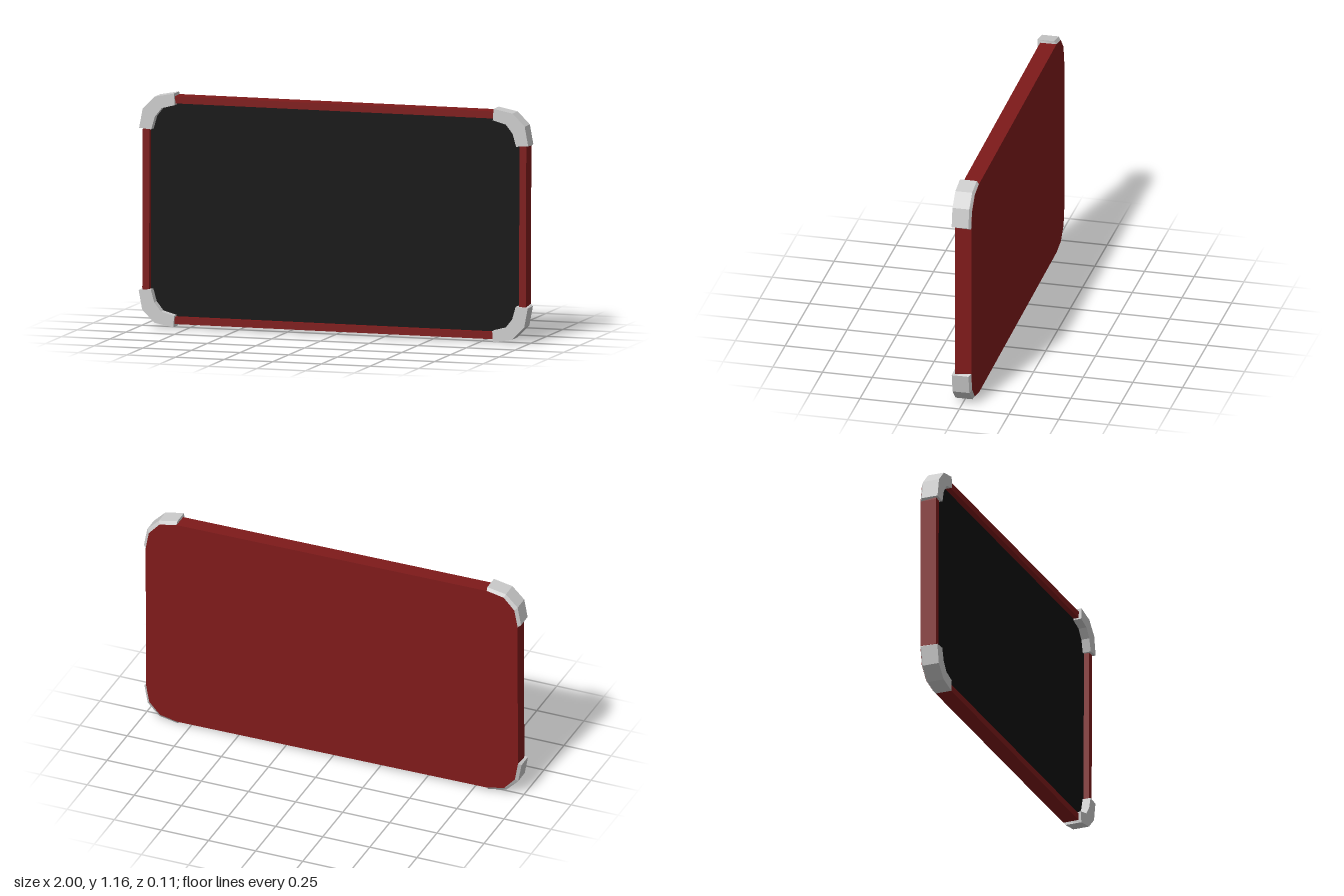
import * as THREE from 'three';

const red = new THREE.MeshStandardMaterial({ color: 0x7e1a1a, flatShading: true });
const black = new THREE.MeshStandardMaterial({ color: 0x111111, flatShading: true });
const grey = new THREE.MeshStandardMaterial({ color: 0xcccccc, flatShading: true });

// Upper +x corner curves, running from the side edge to the top edge
const BODY = [[0.983, 0.39], [0.966, 0.482], [0.91, 0.543], [0.82, 0.562]];
const SCREEN = [[0.948, 0.41], [0.934, 0.475], [0.895, 0.515], [0.82, 0.527]];
const BRACE_OUT = [[0.997, 0.4], [0.979, 0.496], [0.917, 0.558], [0.819, 0.577]];
const BRACE_IN = [[0.935, 0.395], [0.917, 0.458], [0.882, 0.502], [0.815, 0.52]];

// Closed outline made by mirroring one corner curve into all four corners
function outline(corner) {
  const pts = [];
  for (const [sx, sy] of [[1, 1], [-1, 1], [-1, -1], [1, -1]]) {
    const c = corner.map(([x, y]) => new THREE.Vector2(x * sx, y * sy));
    pts.push(...(sx * sy > 0 ? c : c.reverse()));
  }
  return pts;
}

function plate(name, shape, z0, z1, material) {
  const geo = new THREE.ExtrudeGeometry(shape, { depth: z1 - z0, bevelEnabled: false });
  geo.translate(0, 0, z0);
  const mesh = new THREE.Mesh(geo, material);
  mesh.name = name;
  return mesh;
}

// Corner brace: a section with a bevelled back edge, swept around one corner
function braceGeometry(sx, sy) {
  const stations = BRACE_OUT.map((o, i) => {
    const n = BRACE_IN[i], b = BODY[i];
    return [[...o, 0.048], [...o, -0.036], [...b, -0.047], [...n, -0.045], [...n, 0.048]]
      .map(([x, y, z]) => [x * sx, y * sy, z]);
  });
  if (sx * sy < 0) stations.reverse();
  const pos = [];
  const tri = (...p) => p.forEach((v) => pos.push(...v));
  const n = stations[0].length;
  for (let i = 0; i < stations.length - 1; i++) {
    for (let j = 0; j < n; j++) {
      const k = (j + 1) % n, s = stations[i], t = stations[i + 1];
      tri(s[j], s[k], t[k]);
      tri(s[j], t[k], t[j]);
    }
  }
  // End caps
  const first = stations[0], last = stations[stations.length - 1];
  for (let j = 1; j < n - 1; j++) {
    tri(first[0], first[j + 1], first[j]);
    tri(last[0], last[j], last[j + 1]);
  }
  const geo = new THREE.BufferGeometry();
  geo.setAttribute('position', new THREE.Float32BufferAttribute(pos, 3));
  geo.computeVertexNormals();
  return geo;
}

export function createModel() {
  const model = new THREE.Group();
  model.name = 'framedPanel';
  const panel = new THREE.Group();
  panel.name = 'panel';

  // Back shell and raised rim around the recessed screen
  panel.add(plate('backShell', new THREE.Shape(outline(BODY)), -0.048, 0, red));
  const rim = new THREE.Shape(outline(BODY));
  rim.holes.push(new THREE.Path(outline(SCREEN)));
  panel.add(plate('rim', rim, 0, 0.034, red));
  panel.add(plate('screen', new THREE.Shape(outline(SCREEN)), -0.01, 0.006, black));

  // Four corner braces
  for (const sy of [1, -1]) {
    for (const sx of [1, -1]) {
      const brace = new THREE.Mesh(braceGeometry(sx, sy), grey);
      brace.name = `${sy > 0 ? 'top' : 'bottom'}${sx > 0 ? 'Left' : 'Right'}Brace`;
      panel.add(brace);
    }
  }

  // The panel sits very slightly turned and tilted
  panel.rotation.set(0, 0.009, -0.0028);
  panel.position.y = 0.58;
  model.add(panel);
  return model;
}
